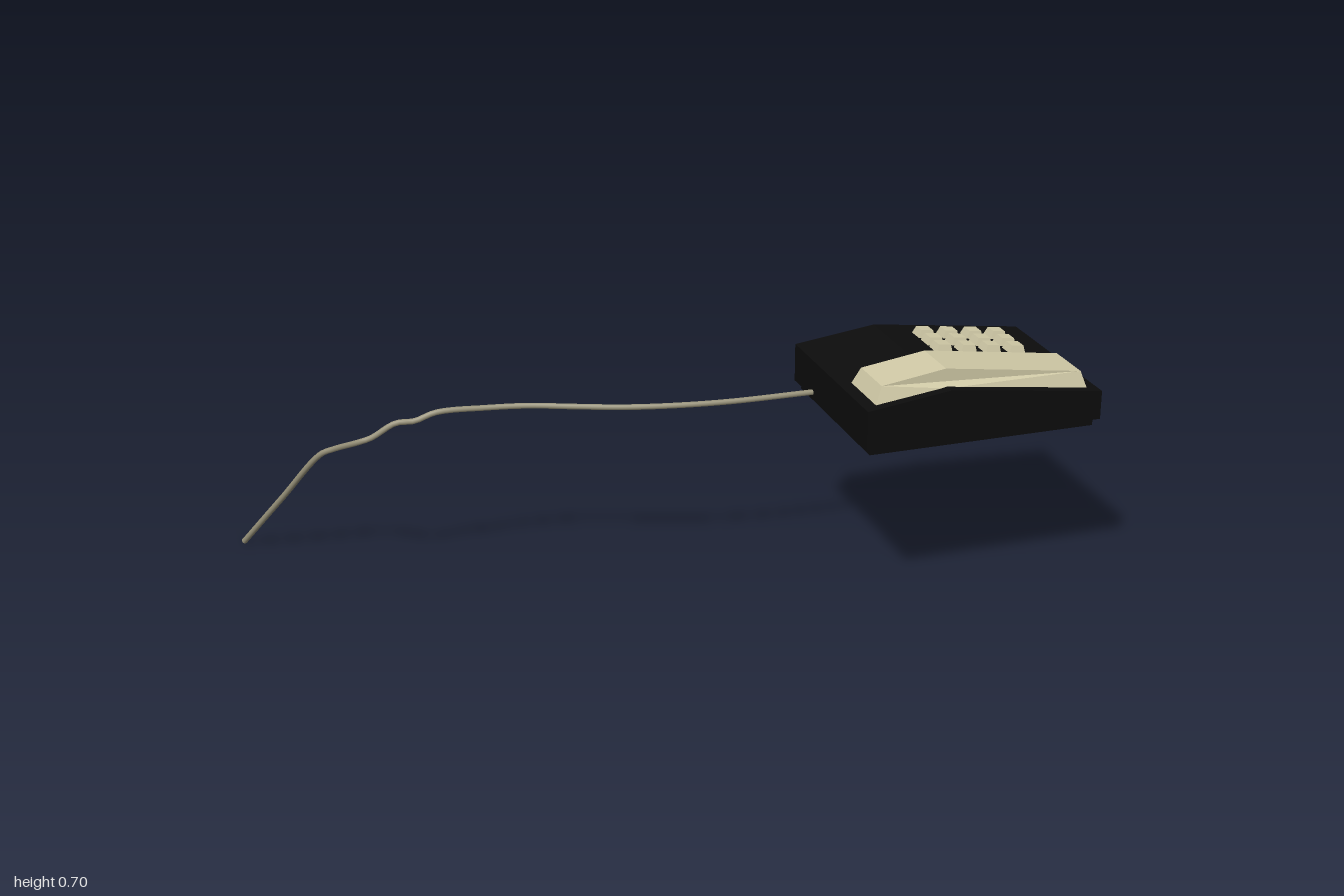
import * as THREE from 'three';

const mat = (color) => new THREE.MeshStandardMaterial({ color, flatShading: true });
const black = mat(0x0c0c0c);
const cream = mat(0xd2cba8);
const cordColor = new THREE.MeshStandardMaterial({ color: 0x98927a, side: THREE.DoubleSide });

// Height of the housing's sloped top at depth z
const RIDGE = 0.105;
const deckY = (z) => z > RIDGE
  ? 0.657 - (z - RIDGE) * 0.129
  : 0.657 - (RIDGE - z) * 0.131;

// Side profile given as [z, y] points, extruded across x
function prism(points, width) {
  const shape = new THREE.Shape(points.map(([z, y]) => new THREE.Vector2(-z, y)));
  const geo = new THREE.ExtrudeGeometry(shape, { depth: width, bevelEnabled: false });
  return geo.rotateY(Math.PI / 2).translate(-width / 2, 0, 0);
}

function add(parent, name, geo, material) {
  const mesh = new THREE.Mesh(geo, material);
  mesh.name = name;
  parent.add(mesh);
  return mesh;
}

function buildHandset() {
  const geo = prism([
    [-0.313, deckY(-0.313) - 0.004], [RIDGE, deckY(RIDGE) - 0.004], [0.313, deckY(0.313) - 0.004],
    [0.29, 0.677], [RIDGE, 0.704], [-0.298, 0.647],
  ], 0.174);
  // Narrow the crown so the sides lean inward
  const p = geo.attributes.position;
  for (let i = 0; i < p.count; i++) {
    if (p.getY(i) > deckY(p.getZ(i)) + 0.01) p.setX(i, p.getX(i) * 0.82);
  }
  geo.computeVertexNormals();
  return geo.translate(0.154, 0, 0);
}

function buildPhone() {
  const phone = new THREE.Group();
  phone.name = 'telephone';

  // Housing and inset foot
  add(phone, 'housing', prism([
    [-0.345, 0.516], [0.345, 0.516], [0.345, deckY(0.345)], [RIDGE, deckY(RIDGE)], [-0.345, deckY(-0.345)],
  ], 0.534), black);
  add(phone, 'foot', new THREE.BoxGeometry(0.505, 0.03, 0.66).translate(0, 0.509, 0), black);

  add(phone, 'handset', buildHandset(), cream);

  // Keypad: tapered square keys set along the slope
  const keys = new THREE.Group();
  keys.name = 'keypad';
  const keyGeo = new THREE.CylinderGeometry(0.026, 0.036, 0.024, 4).rotateY(Math.PI / 4);
  for (let row = 0; row < 4; row++) {
    for (let col = 0; col < 3; col++) {
      const z = -0.236 + row * 0.075;
      const key = add(keys, 'key', keyGeo, cream);
      key.position.set(-0.177 + col * 0.0605, deckY(z) + 0.01, z);
      key.rotation.x = -Math.atan(0.131);
    }
  }
  phone.add(keys);

  phone.position.set(0.594, 0, -0.417);
  phone.rotation.y = -0.507;
  return phone;
}

// Cord running level from the back of the phone, then dropping to the ground
function buildCord() {
  const path = [
    [0.315, 0.532, -0.18], [0.19, 0.532, 0.03], [0.094, 0.532, 0.158], [0, 0.532, 0.26],
    [-0.1, 0.532, 0.345], [-0.2, 0.532, 0.428], [-0.275, 0.532, 0.516], [-0.352, 0.532, 0.632],
    [-0.388, 0.511, 0.68], [-0.42, 0.508, 0.72], [-0.468, 0.466, 0.767], [-0.495, 0.452, 0.787],
    [-0.6, 0.403, 0.795], [-0.645, 0.378, 0.807], [-0.82, 0.193, 0.822], [-0.994, 0.007, 0.837],
  ].map((v) => new THREE.Vector3(...v));
  return new THREE.TubeGeometry(new THREE.CatmullRomCurve3(path, false, 'centripetal'), 110, 0.0085, 8);
}

export function createModel() {
  const model = new THREE.Group();
  model.name = 'deskTelephone';
  model.add(buildPhone());
  add(model, 'cord', buildCord(), cordColor);
  return model;
}
